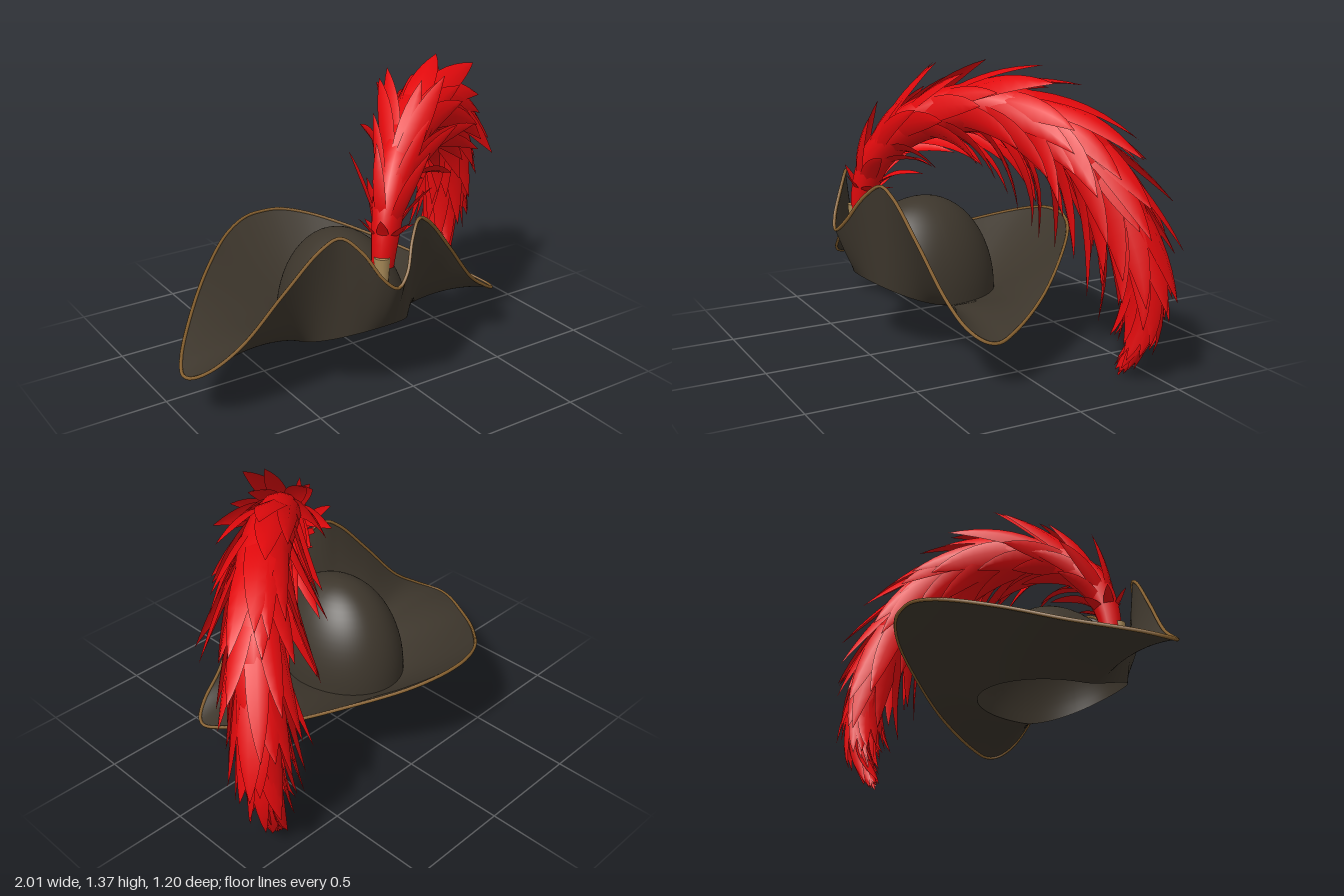
import * as THREE from 'three';
import { mergeGeometries } from 'three/addons/utils/BufferGeometryUtils.js';

const V = (x, y, z) => new THREE.Vector3(x, y, z);
const HAT_X = -0.16;

// surface through rows of points; closed joins each row's end to its start
function loft(rows, closed) {
  const n = rows[0].length, index = [];
  const span = closed ? n : n - 1;
  for (let r = 0; r < rows.length - 1; r++)
    for (let i = 0; i < span; i++) {
      const a = r * n + i, b = r * n + (i + 1) % n;
      index.push(a, b, b + n, a, b + n, a + n);
    }
  const geo = new THREE.BufferGeometry().setFromPoints(rows.flat());
  geo.setIndex(index);
  geo.computeVertexNormals();
  return geo;
}

// small seeded generator
function seeded(seed) {
  return () => (seed = (seed * 16807) % 2147483647) / 2147483647;
}

export function createModel() {
  const mat = (name, color) => {
    const m = new THREE.MeshStandardMaterial({ color, side: THREE.DoubleSide });
    m.name = name;
    return m;
  };
  const felt = mat('dark felt', 0x3d362c);
  const trim = mat('brown trim', 0x86602f);
  const tan = mat('tan quill', 0xa88a58);
  const red = mat('red feather', 0xe2090c);

  const group = new THREE.Group();
  const add = (name, geo, material) => {
    const m = new THREE.Mesh(geo, material);
    m.name = name;
    group.add(m);
    return m;
  };

  // brim edge: one half from front dip to back point, then mirrored
  const half = [
    [0, 0.575, 0.592], [0.06, 0.62, 0.572], [0.13, 0.74, 0.51], [0.205, 0.805, 0.455],
    [0.28, 0.765, 0.43], [0.44, 0.585, 0.385], [0.62, 0.37, 0.335], [0.75, 0.275, 0.3],
    [0.82, 0.235, 0.25], [0.838, 0.228, 0.2], [0.8, 0.25, 0.1], [0.64, 0.32, -0.13],
    [0.44, 0.42, -0.35], [0.24, 0.5, -0.52], [0.1, 0.535, -0.585], [0, 0.54, -0.596],
  ];
  const full = [...half, ...half.slice(1, -1).reverse().map(([x, y, z]) => [-x, y, z])];
  const edge = new THREE.CatmullRomCurve3(full.map(([x, y, z]) => V(HAT_X + x, y, z)), true);
  const count = full.length * 6;
  const rim = Array.from({ length: count }, (_, i) => edge.getPoint(i / count));

  // head opening, raised at the front
  const angles = rim.map(p => Math.atan2((p.x - HAT_X) / 0.285, (p.z - 0.14) / 0.34));
  const opening = angles.map(a => V(
    HAT_X + 0.285 * Math.sin(a),
    0.225 + 0.125 * Math.max(0, Math.cos(a)) ** 1.5,
    0.14 + 0.35 * Math.cos(a)));

  // brim: curved sections from opening to edge, arched toward the side tips
  const brimRows = [];
  for (let j = 0; j <= 12; j++) {
    const s = j / 12;
    brimRows.push(rim.map((p, i) => {
      const off = (Math.abs(angles[i]) - 1.5) / 0.4;
      const lift = 0.22 * Math.exp(-off * off) - 0.05;
      const q = opening[i].clone().lerp(p, s);
      q.y += lift * s * (1 - s);
      return q;
    }));
  }
  add('brim', loft(brimRows, true), felt);
  add('brimTrim', new THREE.TubeGeometry(edge, 240, 0.008, 6, true), trim);

  // crown: dome standing on the opening
  const crownRows = [];
  for (let j = 0; j <= 16; j++) {
    const e = (j / 16) * Math.PI / 2, r = Math.max(Math.cos(e), 0.001), h = Math.sin(e);
    crownRows.push(opening.map(p => V(
      HAT_X + (p.x - HAT_X) * r, p.y + (0.69 - p.y) * h, 0.14 + (p.z - 0.14) * r)));
  }
  add('crown', loft(crownRows, true), felt);

  // quill stub tucked behind the front dip
  const quill = add('quill', new THREE.CylinderGeometry(0.036, 0.028, 0.14, 12), tan);
  quill.position.set(-0.172, 0.615, 0.487);

  // plume spine, arching back and to the left
  const spine = new THREE.CatmullRomCurve3([
    V(-0.155, 0.63, 0.465), V(-0.13, 0.78, 0.45), V(-0.08, 0.92, 0.41), V(0.05, 1.07, 0.31),
    V(0.25, 1.16, 0.14), V(0.46, 1.15, -0.02), V(0.64, 1.04, -0.18), V(0.77, 0.82, -0.31),
    V(0.85, 0.5, -0.41), V(0.84, 0.25, -0.43), V(0.74, 0.005, -0.37),
  ]);
  const side = V(0.67, 0, 0.74).normalize();
  const frame = u => {
    const t = THREE.MathUtils.clamp(u, 0, 1);
    const out = side.clone().cross(spine.getTangentAt(t)).normalize();
    return { p: spine.getPointAt(t), out };
  };
  const around = (f, phi) => f.out.clone().multiplyScalar(Math.cos(phi)).addScaledVector(side, Math.sin(phi));
  const body = u => 0.05 + 0.07 * Math.sin(Math.PI * Math.min(1, u)) - 0.046 * u ** 3;

  // plume core
  const coreRows = [];
  for (let j = 0; j <= 48; j++) {
    const f = frame(j / 48), r = body(j / 48);
    coreRows.push(Array.from({ length: 12 }, (_, k) =>
      f.p.clone().addScaledVector(around(f, k / 12 * Math.PI * 2), r)));
  }
  add('plumeCore', loft(coreRows, true), red);

  // one pointed, ridged barb that follows the spine, spreads outward and
  // hangs down where it grows on the inner side of the arch
  const reach = u => 0.24 * Math.sin(Math.PI * u ** 0.8) ** 0.65;
  function barb(t, phi, length, width, spread) {
    const rows = [], steps = 9;
    const inner = (1 - Math.cos(phi)) / 2;
    const tipReach = reach(Math.min(t + length, 0.99)) * spread * (1 + 0.55 * inner * t);
    const droop = 0.2 * inner * Math.max(0, Math.sin(Math.PI * t * 1.2)) * Math.min(1, 1.8 * t);
    const start = body(t) * 0.75;
    for (let j = 0; j <= steps; j++) {
      const s = j / steps;
      const f = frame(t + length * s);
      const radial = around(f, phi), across = around(f, phi + Math.PI / 2);
      const r = start + (tipReach - start) * s ** 1.1;
      const w = width * (0.65 + 0.9 * s) * (1 - s ** 1.8) + 0.001;
      const mid = f.p.clone().addScaledVector(radial, r);
      mid.y -= droop * s * s;
      const low = mid.clone().addScaledVector(radial, -w * 0.4);
      rows.push([low.clone().addScaledVector(across, -w), mid, low.clone().addScaledVector(across, w)]);
    }
    return loft(rows, false);
  }

  // overlapping whorls of broad barbs
  const rand = seeded(4217);
  const barbs = [];
  const whorls = 17;
  for (let i = 0; i < whorls; i++) {
    const t = 0.07 + 0.79 * i / (whorls - 1);
    const n = t < 0.14 ? 6 : 8;
    for (let k = 0; k < n; k++) {
      const phi = (k + (i % 2) * 0.5 + (rand() - 0.5) * 0.7) / n * Math.PI * 2;
      const tt = t + (rand() - 0.5) * 0.04;
      const grow = Math.min(1, 0.45 + t * 2);
      const length = Math.min((0.14 + 0.08 * rand()) * grow, 0.99 - tt);
      const width = (0.058 + 0.024 * rand()) * grow * (t > 0.7 ? 0.75 : 1);
      barbs.push(barb(tt, phi, length, width, 0.72 + 0.42 * rand()));
    }
  }
  // short flared barbs around the base and a tuft at the tip
  for (let k = 0; k < 6; k++) {
    const phi = k / 6 * Math.PI * 2;
    barbs.push(barb(0.05, phi, 0.03, 0.03, 0.95));
    barbs.push(barb(0.86, phi, 0.13, 0.035, 0.5));
  }
  add('plumeBarbs', mergeGeometries(barbs), red);

  return group;
}
